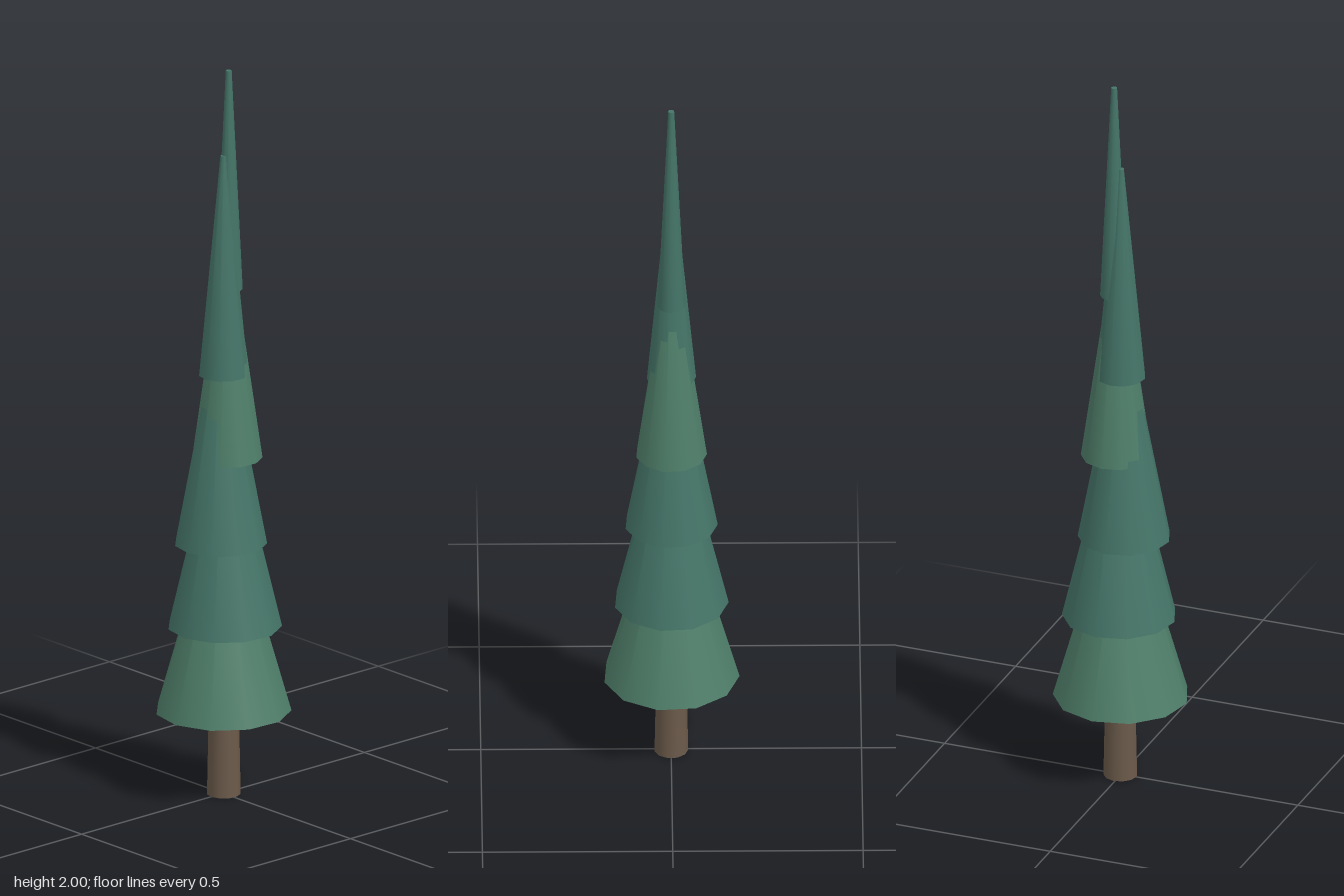
import * as THREE from 'three';

const SIDES = 11;
const TIER_HEIGHT = 0.605;

// Tapered, closed round with its base centre at (x, y, 0)
function taper(name, x, y, bottom, top, height, color) {
  const geometry = new THREE.CylinderGeometry(top, bottom, height, SIDES);
  geometry.translate(0, height / 2, 0);
  const mesh = new THREE.Mesh(geometry, new THREE.MeshStandardMaterial({ color }));
  mesh.name = name;
  mesh.position.set(x, y, 0);
  mesh.rotation.y = 0.224;
  return mesh;
}

export function createModel() {
  const tree = new THREE.Group();
  tree.name = 'pineTree';

  // Trunk, running up inside the lowest tier
  tree.add(taper('trunk', 0.002, 0, 0.045, 0.037, 0.4, 0x6b5a4a));

  // Six foliage tiers, evenly stacked, shrinking and swaying from side to side
  const sway = [0, 0.005, -0.009, 0.013, 0.001, 0.02];
  const green = 0x4f7f6a, teal = 0x457568;
  const colors = [green, teal, teal, green, teal, teal];
  sway.forEach((x, i) => {
    const radius = 0.18 - 0.0286 * i;
    tree.add(taper(`foliageTier${i + 1}`, x, 0.233 + 0.2324 * i, radius, 0.008, TIER_HEIGHT, colors[i]));
  });
  return tree;
}
